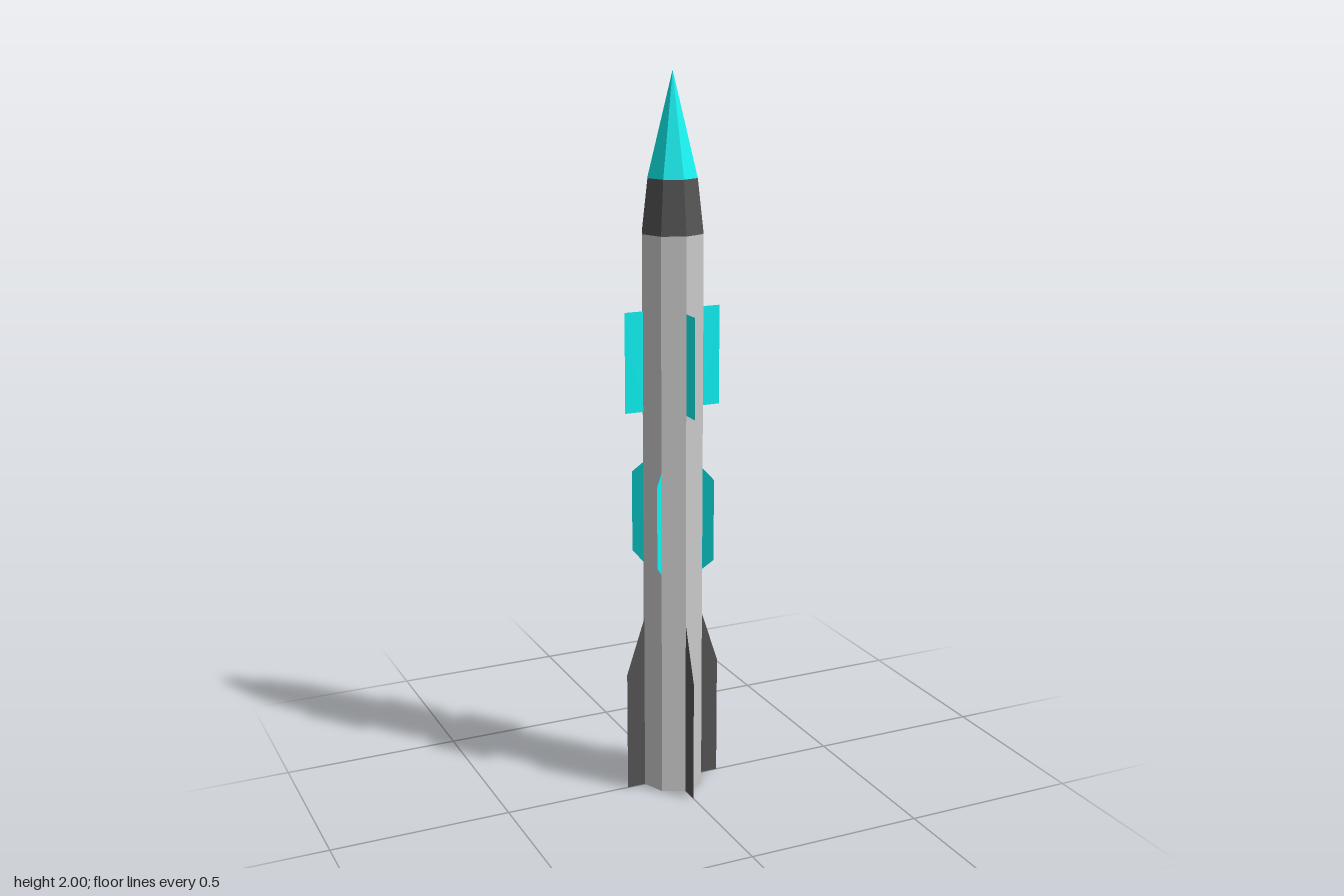
import * as THREE from 'three';

const material = (color, side = THREE.FrontSide) =>
  new THREE.MeshStandardMaterial({ color, side, flatShading: true });

const R = 0.087; // body radius
const SIDES = 8;

export function createModel() {
  const model = new THREE.Group();
  const grey = material(0xcccccc);
  const dark = material(0x555555);
  const cyan = material(0x0cf5f5);
  const darkSheet = material(0x555555, THREE.DoubleSide);
  const cyanSheet = material(0x0cf5f5, THREE.DoubleSide);

  // Octagonal section between two heights
  function section(name, rTop, rBottom, y0, y1, mat, open) {
    const geometry = new THREE.CylinderGeometry(rTop, rBottom, y1 - y0, SIDES, 1, open);
    const mesh = new THREE.Mesh(geometry, mat);
    mesh.name = name;
    mesh.position.y = (y0 + y1) / 2;
    model.add(mesh);
  }

  // Four thin fins around the body, outline given as [radius, height]
  function finSet(name, outline, mat, startAngle) {
    const shape = new THREE.Shape(outline.map(([r, y]) => new THREE.Vector2(r, y)));
    const geometry = new THREE.ShapeGeometry(shape);
    const group = new THREE.Group();
    group.name = name + 's';
    for (let i = 0; i < 4; i++) {
      const fin = new THREE.Mesh(geometry, mat);
      fin.name = name;
      fin.rotation.y = startAngle + i * Math.PI / 2;
      group.add(fin);
    }
    model.add(group);
  }

  // Fuselage and nose
  section('body', R, R, 0, 1.58, grey, false);
  section('noseCollar', 0.07, R, 1.58, 1.725, dark, true);
  section('noseCone', 0, 0.07, 1.725, 2, cyan, true);

  // Tail fins and upper fins on the axes, middle fins on the diagonals
  finSet('tailFin', [[R, 0], [0.14, 0], [0.14, 0.345], [R, 0.505]], darkSheet, 0);
  finSet('middleFin', [[R, 0.65], [0.12, 0.68], [0.12, 0.91], [R, 0.94]], cyanSheet, Math.PI / 4);
  finSet('upperFin', [[R, 1.1], [0.14, 1.1], [0.14, 1.375], [R, 1.375]], cyanSheet, 0);

  return model;
}
